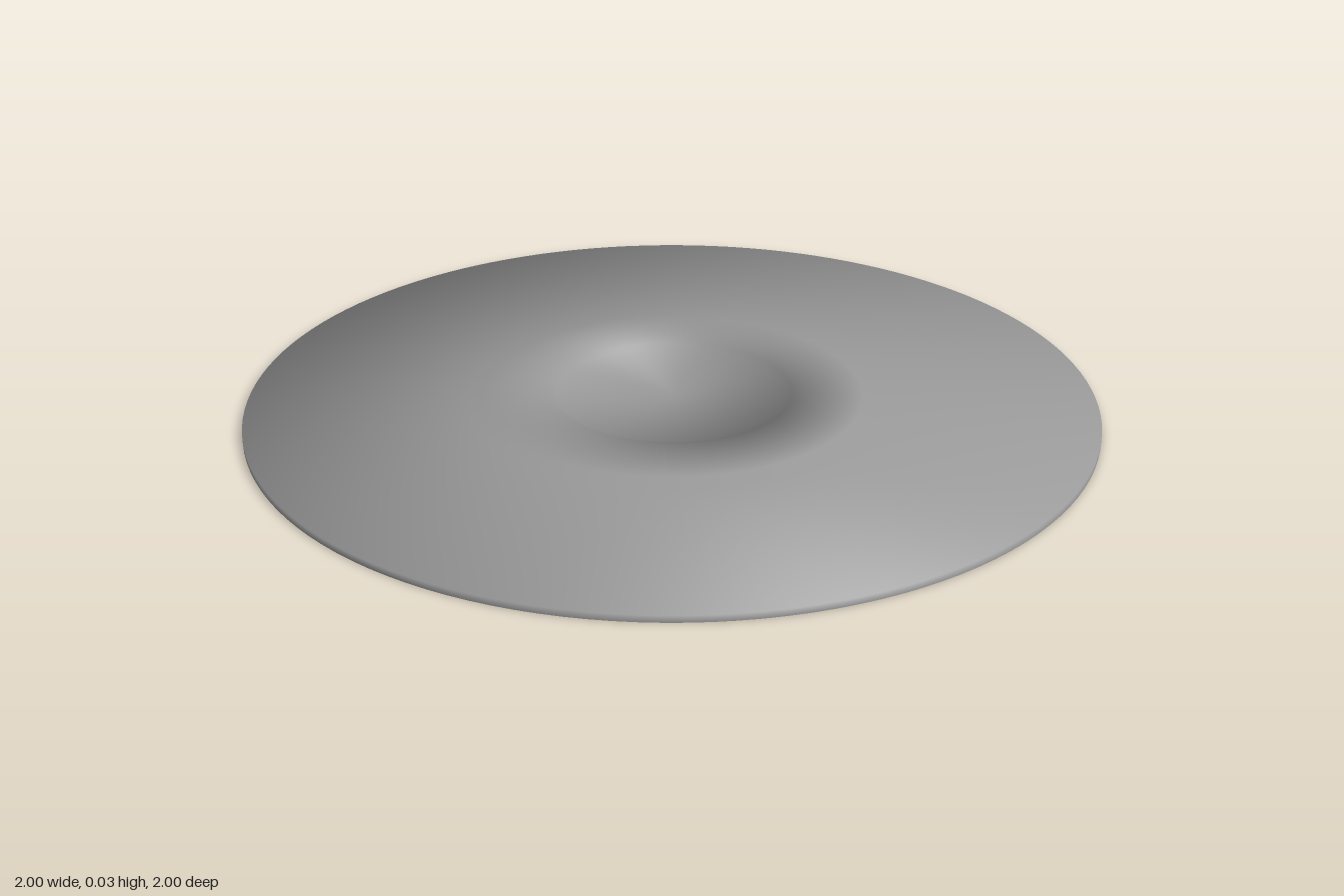
import * as THREE from 'three';

// Profile of the thin pressed sheet, from outer skirt to centre: [radius, height]
const PROFILE = [
  [1, 0], [1, 0.016],             // short rim skirt
  [0.48, 0.016], [0.45, 0.0305],  // flat flange, sloped step
  [0.28, 0.0305], [0.28, 0.018],  // raised ring, wall of the central recess
  [0, 0.018],                     // recess floor
].map(([r, y]) => new THREE.Vector2(r, y));

// Soft profile normals: equal-weight average of the two neighbouring segments
function profileNormals(points) {
  const segments = points.slice(1).map((p, i) => {
    const d = p.clone().sub(points[i]).normalize();
    return new THREE.Vector2(d.y, -d.x);
  });
  return points.map((p, i) => {
    if (p.x === 0) return new THREE.Vector2(0, 1);
    const a = segments[Math.max(i - 1, 0)];
    const b = segments[Math.min(i, segments.length - 1)];
    return a.clone().add(b).normalize();
  });
}

export function createModel() {
  const group = new THREE.Group();
  group.name = 'pressedDisc';

  const sides = 128;
  const geometry = new THREE.LatheGeometry(PROFILE, sides);
  const normals = profileNormals(PROFILE);
  const attribute = geometry.attributes.normal;
  for (let i = 0; i <= sides; i++) {
    const angle = (i / sides) * Math.PI * 2;
    normals.forEach((n, j) => attribute.setXYZ(
      i * normals.length + j, n.x * Math.sin(angle), n.y, n.x * Math.cos(angle)));
  }

  // Open underneath, so both faces show
  const material = new THREE.MeshStandardMaterial({ color: 0x999999, side: THREE.DoubleSide });
  const disc = new THREE.Mesh(geometry, material);
  disc.name = 'discSheet';
  group.add(disc);
  return group;
}
